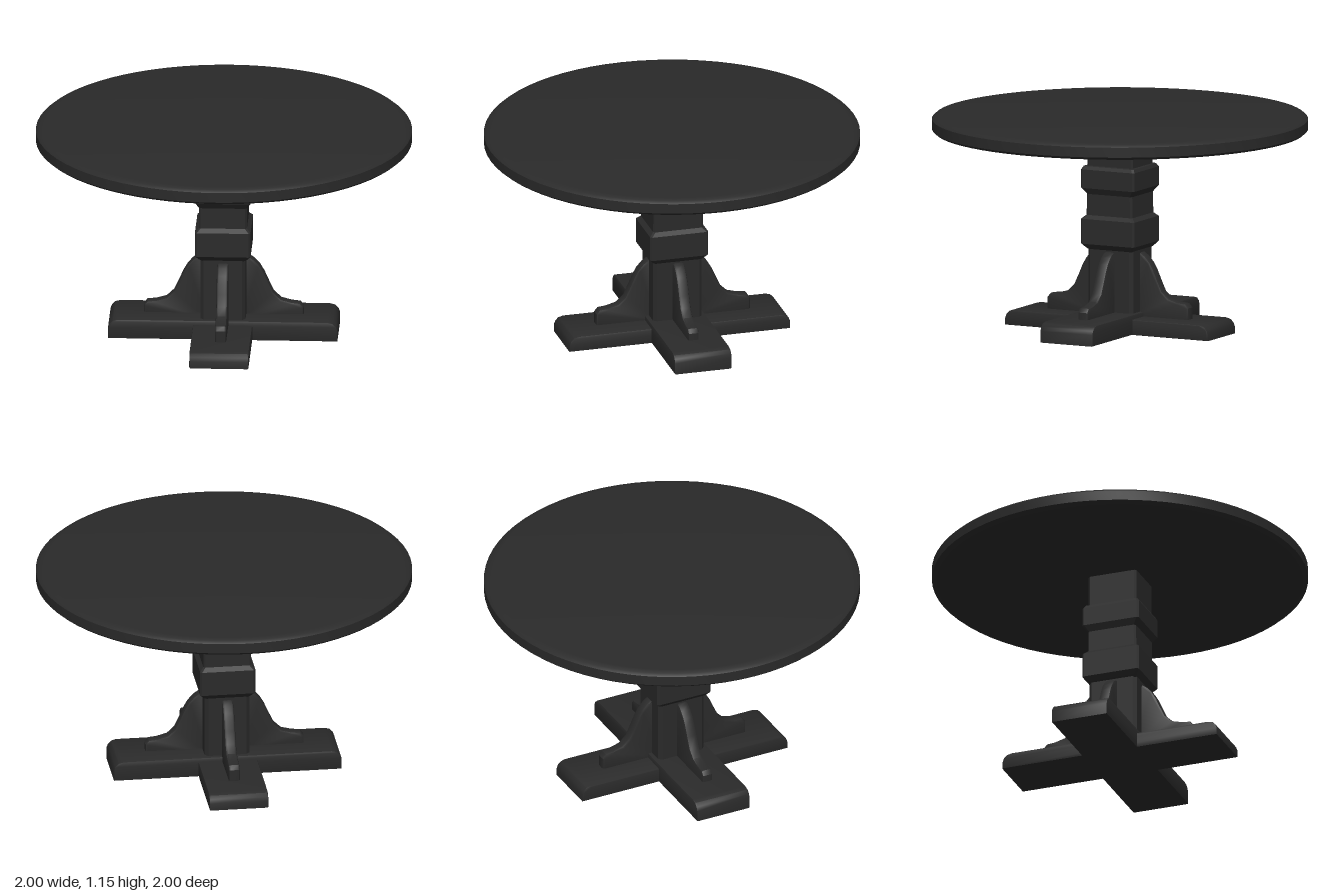
import * as THREE from 'three';
import { toCreasedNormals } from 'three/addons/utils/BufferGeometryUtils.js';

const material = new THREE.MeshStandardMaterial({ color: 0x2a2a2a });

function addMesh(parent, name, geometry, crease = 0.6) {
  const mesh = new THREE.Mesh(toCreasedNormals(geometry, crease), material);
  mesh.name = name;
  parent.add(mesh);
  return mesh;
}

// Side profile in x/y, extruded to a thickness centred on z with eased edges
function slab(points, thickness, bevel) {
  const shape = new THREE.Shape(points.map(([x, y]) => new THREE.Vector2(x, y)));
  const geometry = new THREE.ExtrudeGeometry(shape, {
    depth: thickness - 2 * bevel, bevelEnabled: true, bevelThickness: bevel,
    bevelSize: bevel, bevelOffset: -bevel, bevelSegments: 2,
  });
  return geometry.translate(0, 0, -thickness / 2 + bevel);
}

// Stack of rectangles with cut corners: each ring is [halfX, halfZ, y]
function squareTurning(rings, cut) {
  const positions = [], index = [];
  for (const [hx, hz, y] of rings) {
    const corners = [
      [hx, hz - cut], [hx - cut, hz], [cut - hx, hz], [-hx, hz - cut],
      [-hx, cut - hz], [cut - hx, -hz], [hx - cut, -hz], [hx, cut - hz],
    ];
    for (const [x, z] of corners) positions.push(x, y, z);
  }
  const last = (rings.length - 1) * 8;
  for (let r = 0; r < last; r += 8) {
    for (let i = 0; i < 8; i++) {
      const a = r + i, b = r + (i + 1) % 8;
      index.push(a, a + 8, b, b, a + 8, b + 8);
    }
  }
  for (let i = 1; i < 7; i++) {
    index.push(0, i, i + 1, last, last + i + 1, last + i);
  }
  const geometry = new THREE.BufferGeometry();
  geometry.setAttribute('position', new THREE.Float32BufferAttribute(positions, 3));
  geometry.setIndex(index);
  return geometry;
}

export function createModel() {
  const table = new THREE.Group();
  table.name = 'pedestalTable';

  // Round top with a softened rim
  const rim = [
    [0, 1.06], [0.955, 1.06], [0.985, 1.065], [1, 1.078],
    [1, 1.132], [0.985, 1.145], [0.955, 1.15], [0, 1.15],
  ].map(([r, y]) => new THREE.Vector2(r, y));
  addMesh(table, 'tableTop', new THREE.LatheGeometry(rim, 72));

  // Square pedestal: lower post, two swollen blocks, neck and upper post
  addMesh(table, 'lowerPost', squareTurning([[0.12, 0.135, 0.02], [0.12, 0.135, 0.445]], 0.018));
  addMesh(table, 'pedestal', squareTurning([
    [0.115, 0.13, 0.435], [0.13, 0.14, 0.445], [0.148, 0.16, 0.468],
    [0.148, 0.16, 0.602], [0.128, 0.138, 0.622], [0.128, 0.136, 0.735],
    [0.148, 0.16, 0.768], [0.148, 0.16, 0.868], [0.138, 0.15, 0.885],
    [0.12, 0.136, 0.887], [0.12, 0.136, 1.065],
  ], 0.01), 0.3);

  // Crossed floor beams with rounded ends
  function beam(name, height, turn) {
    const end = [[0.61, 0], [0.61, height - 0.045], [0.602, height - 0.024],
      [0.585, height - 0.007], [0.558, height]];
    const outline = [...end, ...end.map(([x, y]) => [-x, y]).reverse()];
    addMesh(table, name, slab(outline, 0.315, 0.006)).rotation.y = turn;
  }
  beam('sideBeam', 0.107, 0);
  beam('frontBeam', 0.083, Math.PI / 2);

  // Four curved braces between post and beams
  const bracePoints = [
    [0.08, 0.06], [0.425, 0.06], [0.425, 0.145], [0.407, 0.167], [0.36, 0.172],
    [0.305, 0.187], [0.265, 0.225], [0.237, 0.285], [0.215, 0.335], [0.193, 0.373],
    [0.165, 0.405], [0.14, 0.423], [0.12, 0.43], [0.08, 0.43],
  ];
  const names = ['leftBrace', 'backBrace', 'rightBrace', 'frontBrace'];
  names.forEach((name, i) => {
    addMesh(table, name, slab(bracePoints, 0.06, 0.012)).rotation.y = i * Math.PI / 2;
  });

  return table;
}
